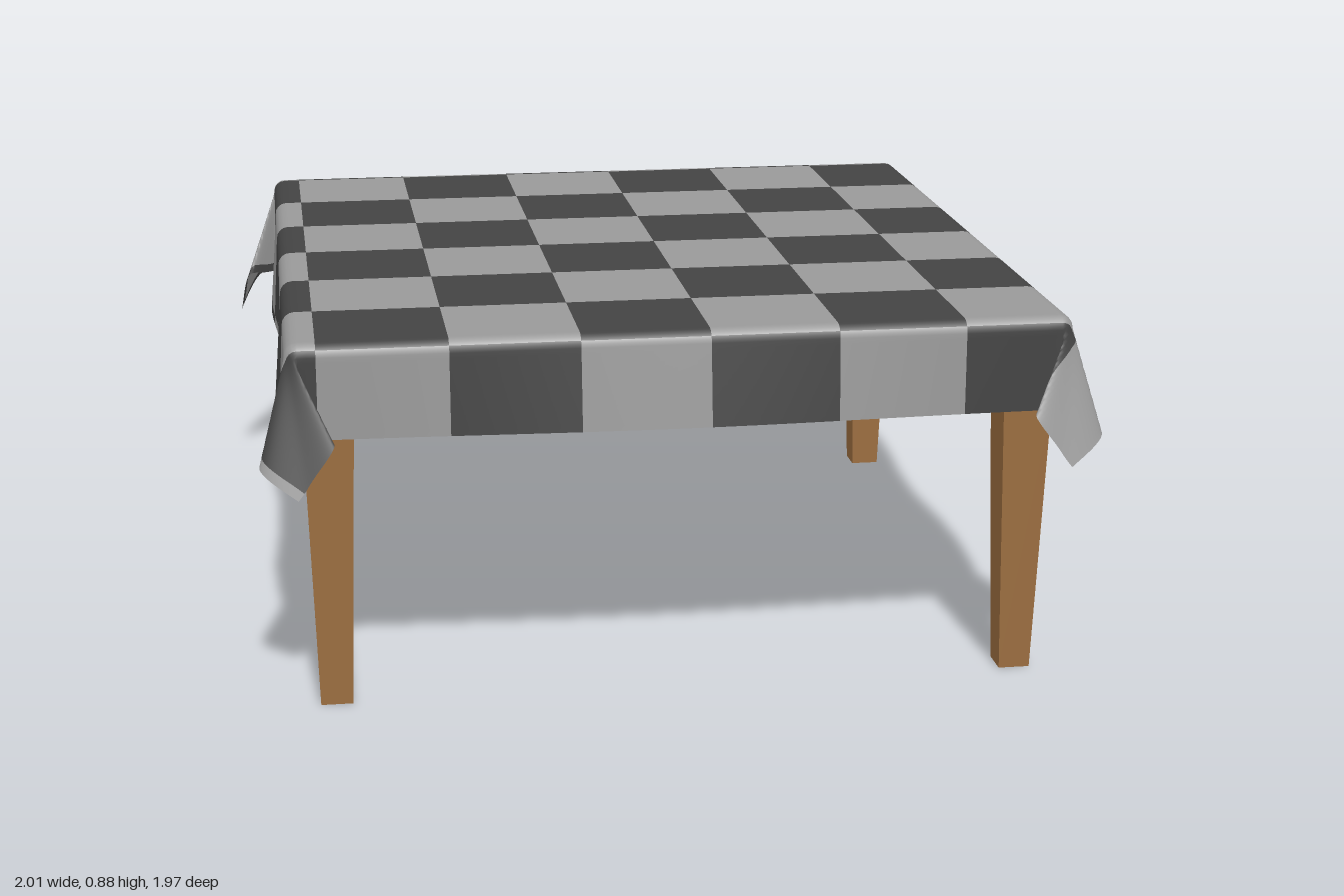
import * as THREE from 'three';

// Table top outline under the cloth: flat core rectangle plus a rounded rim
const TOP = 0.88, RIM = 0.03, ARC = RIM * Math.PI / 2;
const CORE = { x0: -0.87, x1: 0.87, z0: -0.9, z1: 0.85 };
const CLOTH = { x0: -1.147, x1: 1.147, z0: -1.2, z1: 1.087 };
const CHECK = 0.295, CHECK_X = -0.83, CHECK_Z = -0.89;

// Hang direction around a corner: (out from flap side, up, along flap side)
const cornerFold = new THREE.CatmullRomCurve3([
  [0, -1, 0], [0.3, -0.85, -0.4], [0.32, -0.93, -0.12], [0.22, -0.92, 0.25], [0, -1, 0],
].map(p => new THREE.Vector3(...p)), false, 'catmullrom');

// Maps a point of the flat cloth to its draped position
function drape(u, v) {
  const x = THREE.MathUtils.clamp(u, CORE.x0, CORE.x1);
  const z = THREE.MathUtils.clamp(v, CORE.z0, CORE.z1);
  const a = Math.abs(u - x), b = Math.abs(v - z);
  const s = Math.hypot(a, b);
  if (s < 1e-6) return [x, TOP, z];
  const sx = Math.sign(u - x), sz = Math.sign(v - z);
  const angle = Math.atan2(b, a);
  const bend = Math.min(s, ARC) / RIM;
  const rest = Math.max(0, s - ARC);
  let ox = RIM * Math.sin(bend) * Math.cos(angle);
  let oz = RIM * Math.sin(bend) * Math.sin(angle);
  let y = TOP - RIM * (1 - Math.cos(bend));
  if (a > 0 && b > 0) {
    // back flaps fold onto the sides, front flaps fold onto the front
    const front = sz > 0;
    const t = angle / (Math.PI / 2);
    const d = cornerFold.getPoint(front ? 1 - t : t).normalize();
    ox += rest * (front ? d.z : d.x);
    oz += rest * (front ? d.x : d.z);
    y += rest * d.y;
  } else {
    // skirts hang down with a gentle billow
    y -= rest;
    const tz = (z - CORE.z0) / (CORE.z1 - CORE.z0);
    const tx = (x - CORE.x0) / (CORE.x1 - CORE.x0);
    if (a > 0) ox += 0.09 * rest * Math.sin(2 * Math.PI * tz) ** 2;
    else if (sz > 0) oz += 0.13 * rest * Math.sin(Math.PI * tx) ** 2;
    else y += 0.05 * rest * Math.sin(Math.PI * tx) ** 2;
  }
  return [x + sx * ox, y, z + sz * oz];
}

// Grid lines that fall exactly on check borders, rim starts and hems
function gridLines(min, max, coreMin, coreMax, checkStart) {
  const stops = [min, max, coreMin, coreMax, coreMin - ARC, coreMax + ARC];
  for (let k = -2; k < 9; k++) {
    const c = checkStart + k * CHECK;
    if (c > min && c < max) stops.push(c);
  }
  stops.sort((p, q) => p - q);
  const lines = [min];
  for (let i = 1; i < stops.length; i++) {
    const from = stops[i - 1], to = stops[i];
    if (to - from < 1e-5) continue;
    const onTop = from >= coreMin - 1e-6 && to <= coreMax + 1e-6;
    const n = Math.ceil((to - from) / (onTop ? 0.04 : 0.012));
    for (let k = 1; k <= n; k++) lines.push(from + (to - from) * k / n);
  }
  return lines;
}

function clothGeometry() {
  const us = gridLines(CLOTH.x0, CLOTH.x1, CORE.x0, CORE.x1, CHECK_X);
  const vs = gridLines(CLOTH.z0, CLOTH.z1, CORE.z0, CORE.z1, CHECK_Z);
  const positions = [], light = [], dark = [];
  for (const u of us) for (const v of vs) positions.push(...drape(u, v));
  for (let i = 0; i < us.length - 1; i++) {
    for (let j = 0; j < vs.length - 1; j++) {
      const p = i * vs.length + j, q = p + vs.length;
      const ci = Math.floor(((us[i] + us[i + 1]) / 2 - CHECK_X) / CHECK);
      const cj = Math.floor(((vs[j] + vs[j + 1]) / 2 - CHECK_Z) / CHECK);
      ((ci + cj) % 2 === 0 ? light : dark).push(p, p + 1, q, q, p + 1, q + 1);
    }
  }
  const g = new THREE.BufferGeometry();
  g.setAttribute('position', new THREE.Float32BufferAttribute(positions, 3));
  g.setIndex([...light, ...dark]);
  g.addGroup(0, light.length, 0);
  g.addGroup(light.length, dark.length, 1);
  g.computeVertexNormals();
  return g;
}

export function createModel() {
  const model = new THREE.Group();
  model.name = 'tableWithCloth';
  const material = (name, color, side = THREE.FrontSide) => {
    const m = new THREE.MeshStandardMaterial({ color, side });
    m.name = name;
    return m;
  };
  const wood = material('wood', 0x9c6e40);
  const lightCheck = material('lightCheck', 0x999999, THREE.DoubleSide);
  const darkCheck = material('darkCheck', 0x434343, THREE.DoubleSide);

  const add = (name, geometry, mat, x = 0, y = 0, z = 0, parent = model) => {
    const mesh = new THREE.Mesh(geometry, mat);
    mesh.name = name;
    mesh.position.set(x, y, z);
    parent.add(mesh);
    return mesh;
  };
  const box = (name, w, h, d, x, y, z, parent) =>
    add(name, new THREE.BoxGeometry(w, h, d), wood, x, y, z, parent);

  // Checked cloth with folded corner flaps
  add('tablecloth', clothGeometry(), [lightCheck, darkCheck]);

  // Table top
  box('tableTop', 1.76, 0.055, 1.77, 0, 0.8375, -0.02);

  // Tapered square legs with straight blocks at the top
  const legX = 0.807, legBack = -0.817, legFront = 0.783, side = 0.114;
  const taper = new THREE.CylinderGeometry(side / Math.SQRT2, 0.074 / Math.SQRT2, 0.66, 4)
    .rotateY(Math.PI / 4).toNonIndexed();
  taper.computeVertexNormals();
  for (const x of [-legX, legX]) {
    for (const z of [legBack, legFront]) {
      const leg = new THREE.Group();
      leg.name = (z > 0 ? 'front' : 'back') + (x > 0 ? 'Left' : 'Right') + 'Leg';
      leg.position.set(x, 0, z);
      add('legTaper', taper, wood, 0, 0.33, 0, leg);
      box('legBlock', side, 0.15, side, 0, 0.735, 0, leg);
      model.add(leg);
    }
  }

  // Apron rails between the legs
  const midZ = (legBack + legFront) / 2;
  for (const z of [legBack, legFront])
    box(z > 0 ? 'frontRail' : 'backRail', 2 * legX - side, 0.11, 0.06, 0, 0.755, z);
  for (const x of [-legX, legX])
    box(x > 0 ? 'leftRail' : 'rightRail', 0.06, 0.11, legFront - legBack - side, x, 0.755, midZ);

  return model;
}
